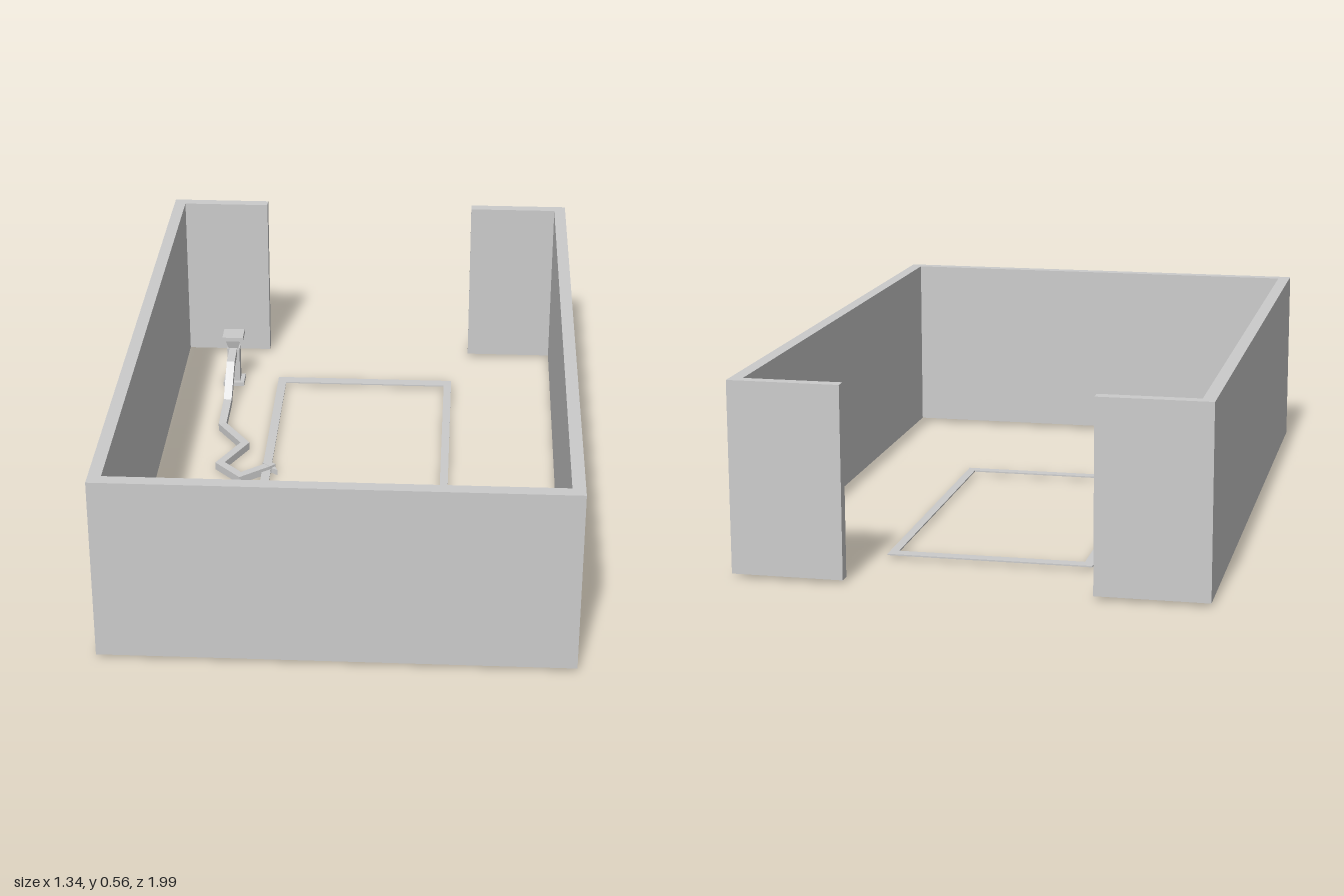
import * as THREE from 'three';

const material = new THREE.MeshStandardMaterial({ color: 0xcccccc, flatShading: true, side: THREE.DoubleSide });

function addPart(parent, name, geometry, x = 0, y = 0, z = 0) {
  const mesh = new THREE.Mesh(geometry, material);
  mesh.name = name;
  mesh.position.set(x, y, z);
  parent.add(mesh);
  return mesh;
}

// Outline given as [x, z] pairs
const outline = (pts, Type = THREE.Shape) => new Type(pts.map(([x, z]) => new THREE.Vector2(x, -z)));
const rect = (x0, x1, z0, z1) => [[x0, z0], [x1, z0], [x1, z1], [x0, z1]];

// Floor plan raised to a given height
function raise(shape, height) {
  return new THREE.ExtrudeGeometry(shape, { depth: height, bevelEnabled: false }).rotateX(-Math.PI / 2);
}

// Square-section hose with mitred bends along a path
function sweepSquare(path, size) {
  const up = new THREE.Vector3(0, 1, 0);
  const verts = [], index = [];
  path.forEach((p, i) => {
    const a = p.clone().sub(path[Math.max(i - 1, 0)]).normalize();
    const b = path[Math.min(i + 1, path.length - 1)].clone().sub(p).normalize();
    const tangent = a.clone().add(b).normalize();
    const miter = size / 2 / Math.max(0.6, tangent.dot(i ? a : b));
    const side = new THREE.Vector3().crossVectors(up, tangent).normalize();
    const normal = new THREE.Vector3().crossVectors(tangent, side);
    for (const [u, v] of [[-1, -1], [1, -1], [1, 1], [-1, 1]]) {
      verts.push(...p.clone().addScaledVector(side, u * miter).addScaledVector(normal, v * size / 2).toArray());
    }
    if (i) {
      for (let k = 0; k < 4; k++) {
        const c = (i - 1) * 4 + k, d = (i - 1) * 4 + (k + 1) % 4;
        index.push(c, c + 4, d, d, c + 4, d + 4);
      }
    }
  });
  const e = (path.length - 1) * 4;
  index.push(0, 1, 2, 0, 2, 3, e, e + 2, e + 1, e, e + 3, e + 2);
  const geometry = new THREE.BufferGeometry();
  geometry.setAttribute('position', new THREE.Float32BufferAttribute(verts, 3));
  geometry.setIndex(index);
  geometry.computeVertexNormals();
  return geometry;
}

// Square frustum
const frustum = (top, bottom, height) =>
  new THREE.CylinderGeometry(top / Math.SQRT2, bottom / Math.SQRT2, height, 4).rotateY(Math.PI / 4);

export function createModel() {
  const model = new THREE.Group();
  model.name = 'walledYard';

  // Walls with an opening at the back
  const half = 0.67, inner = 0.633, gap = 0.35;
  const right = [[gap, -0.955], [gap, -0.99], [half, -0.99], [half, 1]];
  const left = right.map(([x, z]) => [-x, z]).reverse();
  const walls = outline([
    ...right, ...left,
    [-inner, -0.955], [-inner, 0.962], [inner, 0.962], [inner, -0.955],
  ]);
  addPart(model, 'perimeterWalls', raise(walls, 0.55), 0, 0.01, 0);

  // Flat rectangular border marked on the ground
  const border = outline(rect(-0.3, 0.295, -0.73, 0.277));
  border.holes.push(outline(rect(-0.272, 0.27, -0.693, 0.245), THREE.Path));
  addPart(model, 'groundBorder', raise(border, 0.004), 0, 0.01, 0);

  // Small standpipe with square plates at both ends
  const post = new THREE.Group();
  post.name = 'hosePost';
  post.position.set(-0.452, 0, -0.715);
  addPart(post, 'basePlate', new THREE.BoxGeometry(0.07, 0.014, 0.07), 0, 0.007, 0);
  addPart(post, 'column', new THREE.BoxGeometry(0.042, 0.12, 0.042), 0, 0.074, 0);
  addPart(post, 'neck', frustum(0.052, 0.032, 0.036), 0, 0.152, 0);
  addPart(post, 'topPlate', new THREE.BoxGeometry(0.07, 0.014, 0.07), 0, 0.177, 0);
  model.add(post);

  // Hose dropping from the post and zigzagging over the ground
  const hosePath = [
    [-0.452, 0.125, -0.7], [-0.452, 0.12, -0.61], [-0.455, 0.025, -0.515],
    [-0.457, 0.0125, -0.36], [-0.37, 0.0125, -0.23], [-0.437, 0.0125, -0.093],
    [-0.365, 0.0125, -0.016], [-0.278, 0.0125, -0.088],
  ].map((p) => new THREE.Vector3(...p));
  addPart(model, 'hose', sweepSquare(hosePath, 0.025), 0, 0, 0);

  // Nozzle with a thin pointed tip
  const nozzle = new THREE.Group();
  nozzle.name = 'nozzle';
  nozzle.position.set(-0.277, 0, -0.09);
  nozzle.rotation.y = -Math.PI / 4;
  addPart(nozzle, 'nozzleBody', new THREE.BoxGeometry(0.036, 0.026, 0.024), -0.004, 0.013, 0);
  addPart(nozzle, 'nozzleTip', raise(outline([[0.01, -0.012], [0.038, 0], [0.01, 0.006]]), 0.018));
  model.add(nozzle);

  return model;
}
